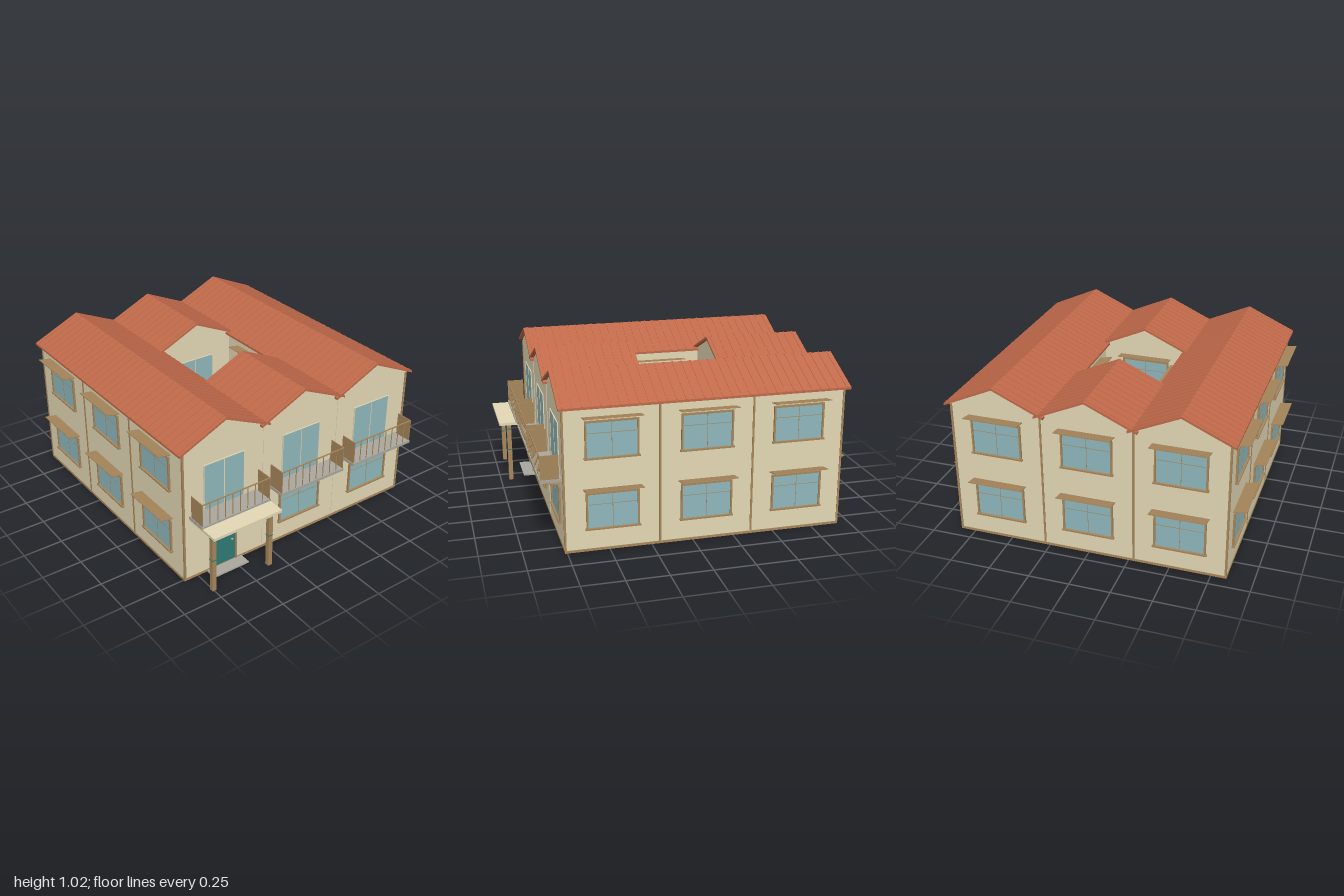
import * as THREE from 'three';

const mat = (name, color) => {
  const m = new THREE.MeshStandardMaterial({ color });
  m.name = name;
  return m;
};
const M = {
  wall: mat('cream plaster', 0xe3d8b5),
  roof: mat('terracotta', 0xc0694a),
  wood: mat('wood', 0xa6865b),
  glass: mat('glass', 0x8fb8bc),
  door: mat('teal paint', 0x2f7a75),
  stone: mat('grey stone', 0xaaa79d),
};

const BAY = 0.56, FRONT = 0.76, BACK = -0.92, HALF = 0.84, EAVE = 0.875;

function add(parent, name, geometry, material) {
  const mesh = new THREE.Mesh(geometry, material);
  mesh.name = name;
  parent.add(mesh);
  return mesh;
}
function box(parent, name, material, w, h, d, x, y, z) {
  const mesh = add(parent, name, new THREE.BoxGeometry(w, h, d), material);
  mesh.position.set(x, y, z);
  return mesh;
}
function group(parent, name) {
  const g = new THREE.Group();
  g.name = name;
  parent.add(g);
  return g;
}

// square ring plan around the courtyard, extruded upwards
function ring(y0, y1, grow) {
  const o = HALF + grow, i = BAY / 2 - grow;
  const rect = (T, x, a, b) => new T([[-x, a], [x, a], [x, b], [-x, b]].map(p => new THREE.Vector2(...p)));
  const shape = rect(THREE.Shape, o, -FRONT - grow, -BACK + grow);
  shape.holes.push(rect(THREE.Path, i, -0.2 + grow, 0.36 - grow));
  return new THREE.ExtrudeGeometry(shape, { depth: y1 - y0, bevelEnabled: false })
    .rotateX(-Math.PI / 2).translate(0, y0, 0);
}

// gable-shaped profile extruded from z0 to z1
function extrudeZ(points, z0, z1) {
  const shape = new THREE.Shape(points.map(p => new THREE.Vector2(...p)));
  return new THREE.ExtrudeGeometry(shape, { depth: z1 - z0, bevelEnabled: false }).translate(0, 0, z0);
}
const chevron = (w, eave, peak, t) =>
  [[-w, eave - t], [0, peak - t], [w, eave - t], [w, eave], [0, peak], [-w, eave]];

function roofWing(parent, name, x, z0, z1) {
  const g = group(parent, name);
  g.position.x = x;
  add(g, 'gableWalls', extrudeZ([[-0.28, 0.868], [0.28, 0.868], [0.28, 0.876], [0, 1.008], [-0.28, 0.876]],
    z0 + 0.03, z1 - 0.025), M.wall);
  add(g, 'tiles', extrudeZ(chevron(0.31, EAVE + 0.003, 1.018, 0.014), z0, z1), M.roof);
  // raised tile joints running down both slopes
  const count = Math.round((z1 - z0) / 0.0545);
  for (let i = 0; i < count; i++) {
    const z = z0 + (i + 0.5) * (z1 - z0) / count;
    add(g, 'tileJoint', extrudeZ(chevron(0.309, EAVE + 0.006, 1.021, 0.008), z - 0.004, z + 0.004), M.roof);
  }
}

// framed window with sill and tilted awning; local +z points out of the wall
function windowUnit(parent, y0) {
  const g = group(parent, 'window');
  g.position.y = y0;
  box(g, 'glass', M.glass, 0.30, 0.215, 0.004, 0, 0.112, 0.002);
  for (const s of [-1, 1]) box(g, 'frameSide', M.wood, 0.011, 0.222, 0.012, s * 0.151, 0.111, 0.006);
  box(g, 'frameTop', M.wood, 0.313, 0.011, 0.012, 0, 0.219, 0.006);
  box(g, 'sill', M.wood, 0.325, 0.01, 0.018, 0, 0.002, 0.009);
  box(g, 'mullion', M.wood, 0.003, 0.21, 0.004, 0, 0.112, 0.003);
  box(g, 'transom', M.wood, 0.29, 0.003, 0.004, 0, 0.15, 0.003);
  box(g, 'awning', M.wood, 0.34, 0.005, 0.081, 0, 0.251, 0.04).rotation.x = -0.17;
}

// glazed sliding door with a railed balcony
function balcony(parent) {
  const g = group(parent, 'balcony');
  box(g, 'slidingDoor', M.glass, 0.28, 0.298, 0.004, 0, 0.596, 0.002);
  for (const x of [-0.139, 0, 0.139]) box(g, 'doorStile', M.wall, 0.004, 0.3, 0.006, x, 0.596, 0.003);
  box(g, 'doorHead', M.wall, 0.283, 0.004, 0.006, 0, 0.745, 0.003);
  box(g, 'slab', M.stone, 0.48, 0.018, 0.13, 0, 0.435, 0.065);
  for (const s of [-1, 1]) box(g, 'endPanel', M.wood, 0.005, 0.145, 0.11, s * 0.234, 0.517, 0.072);
  box(g, 'handrail', M.wood, 0.474, 0.006, 0.006, 0, 0.586, 0.124);
  for (let i = 0; i < 10; i++) box(g, 'baluster', M.wood, 0.004, 0.14, 0.004, -0.234 + i * 0.052, 0.514, 0.124);
}

// one bay-wide stretch of wall, placed and turned to face outwards
function bay(parent, x, z, turn, fittings) {
  const g = group(parent, 'bay');
  g.position.set(x, 0, z);
  g.rotation.y = turn;
  fittings(g);
}
const twoWindows = g => [0.137, 0.565].forEach(y => windowUnit(g, y));
const windowAndBalcony = g => { windowUnit(g, 0.137); balcony(g); };

// entrance door, step and columned porch
function entrance(g) {
  balcony(g);
  box(g, 'door', M.door, 0.152, 0.31, 0.006, 0, 0.172, 0.003);
  for (const s of [-1, 1]) box(g, 'doorJamb', M.wood, 0.01, 0.322, 0.014, s * 0.08, 0.176, 0.007);
  box(g, 'doorLintel', M.wood, 0.17, 0.01, 0.014, 0, 0.335, 0.007);
  box(g, 'doorHandle', M.stone, 0.012, 0.008, 0.012, 0.052, 0.165, 0.01);
  box(g, 'step', M.stone, 0.25, 0.01, 0.08, 0, 0.005, 0.04);
  box(g, 'porchRoof', M.wall, 0.475, 0.018, 0.24, 0, 0.422, 0.12);
  for (const s of [-1, 1]) {
    box(g, 'column', M.wood, 0.028, 0.395, 0.028, s * 0.2, 0.215, 0.175);
    for (const y of [0.235, 0.38]) box(g, 'columnBand', M.door, 0.031, 0.006, 0.031, s * 0.2, y, 0.175);
  }
}

export function createModel() {
  const root = new THREE.Group();
  root.name = 'courtyardHouse';

  add(root, 'walls', ring(0.014, 0.872, 0), M.wall);
  add(root, 'plinth', ring(0, 0.015, 0.004), M.wood);

  // outer facades
  const q = Math.PI / 2;
  bay(root, -BAY, FRONT, 0, entrance);
  for (const x of [0, BAY]) bay(root, x, FRONT, 0, windowAndBalcony);
  for (const i of [-1, 0, 1]) {
    bay(root, i * BAY, BACK, Math.PI, twoWindows);
    for (const s of [-1, 1]) bay(root, s * HALF, -0.08 + i * BAY, s * q, twoWindows);
  }

  // courtyard facades
  bay(root, 0, -0.36, 0, windowAndBalcony);
  bay(root, 0, 0.2, Math.PI, twoWindows);
  for (const s of [-1, 1]) bay(root, s * BAY / 2, -0.08, -s * q, twoWindows);

  // wooden posts at corners and between the side and back bays
  for (const s of [-1, 1]) {
    for (const z of [FRONT, 0.2, -0.36, BACK])
      box(root, 'wallPost', M.wood, 0.012, 0.85, 0.012, s * (HALF - 0.002), 0.443, z);
    box(root, 'wallPost', M.wood, 0.012, 0.85, 0.012, s * BAY / 2, 0.443, BACK + 0.002);
    box(root, 'frontBayStrip', M.wall, 0.006, 0.85, 0.006, s * BAY / 2, 0.443, FRONT);
  }

  // roofs: two full-length wings and two short ones
  for (const s of [-1, 1]) roofWing(root, s < 0 ? 'rightRoof' : 'leftRoof', s * BAY, -0.95, 0.785);
  roofWing(root, 'frontRoof', 0, 0.17, 0.785);
  roofWing(root, 'backRoof', 0, -0.95, -0.33);

  return root;
}
